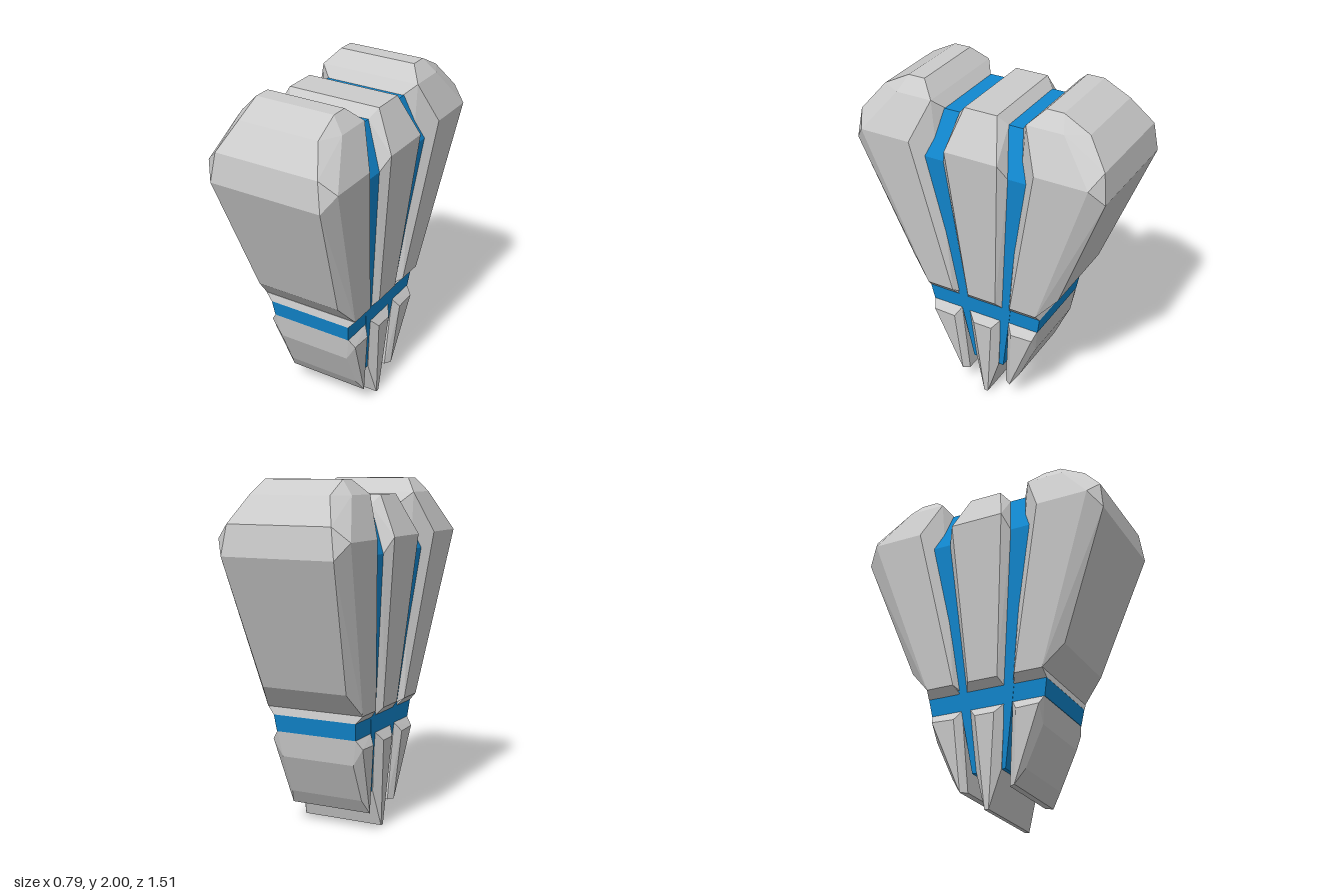
import * as THREE from 'three';
import { ConvexGeometry } from 'three/addons/geometries/ConvexGeometry.js';

const grey = new THREE.MeshStandardMaterial({ color: 0xcccccc, flatShading: true });
const blue = new THREE.MeshStandardMaterial({ color: 0x1188d0, flatShading: true });

// Faceted solid around [halfWidth, y, z] corners, mirrored left to right.
// fold also mirrors them front to back; flip builds the rear twin.
function facet(name, corners, { material = grey, fold = false, flip = false, shift = 0 } = {}) {
  const points = [];
  for (const [x, y, z] of corners) {
    for (const sx of [-1, 1]) {
      for (const sz of fold ? [-1, 1] : [flip ? -1 : 1]) {
        points.push(new THREE.Vector3(sx * x, y, sz * z + shift));
      }
    }
  }
  const mesh = new THREE.Mesh(new ConvexGeometry(points), material);
  mesh.name = name;
  return mesh;
}

export function createModel() {
  const group = new THREE.Group();
  group.name = 'segmentedWedge';
  const upperShift = -0.006;

  // Blue core filling the gaps, and the band around its waist
  group.add(facet('core', [
    [0.245, 1.86, 0.24], [0.345, 1.6, 0.315], [0.26, 0.68, 0.17], [0.22, 0.22, 0.1],
  ], { material: blue, fold: true, shift: upperShift / 2 }));
  group.add(facet('waistBand', [
    [0.26, 0.68, 0.362], [0.25, 0.58, 0.345],
  ], { material: blue, fold: true }));

  // Slim middle plates, above and below the band
  group.add(facet('upperMiddlePlate', [
    [0.28, 1.915, 0.098], [0.245, 1.86, 0.148], [0.395, 1.69, 0.16], [0.345, 1.6, 0.197],
    [0.3, 0.725, 0.09], [0.26, 0.68, 0.115],
  ], { fold: true, shift: upperShift }));
  group.add(facet('lowerMiddlePlate', [
    [0.25, 0.58, 0.105], [0.285, 0.525, 0.058], [0.225, 0.22, 0.075], [0.25, 0, 0.012],
  ], { fold: true }));

  for (const flip of [false, true]) {
    const side = flip ? 'rear' : 'front';

    // Large upper lobe
    group.add(facet(side + 'UpperLobe', [
      [0.235, 2, 0.365], [0.235, 2, 0.465],
      [0.305, 1.92, 0.285], [0.24, 1.86, 0.237], [0.24, 1.92, 0.617], [0.305, 1.92, 0.5],
      [0.31, 1.77, 0.735], [0.395, 1.69, 0.38], [0.395, 1.69, 0.685],
      [0.335, 1.6, 0.757], [0.31, 1.6, 0.27],
      [0.26, 0.86, 0.475], [0.3, 0.725, 0.355], [0.3, 0.725, 0.19], [0.26, 0.7, 0.165],
    ], { flip, shift: flip ? 0 : upperShift / 2 }));

    // Bevelled collar between the upper lobe and the band
    group.add(facet(side + 'Collar', [
      [0.3, 0.726, 0.355], [0.3, 0.726, 0.19], [0.26, 0.68, 0.363], [0.26, 0.68, 0.165],
    ], { flip }));

    // Small lower lobe
    group.add(facet(side + 'LowerLobe', [
      [0.25, 0.58, 0.342], [0.25, 0.58, 0.155],
      [0.285, 0.53, 0.325], [0.285, 0.525, 0.19],
      [0.225, 0.43, 0.322], [0.225, 0.2, 0.218],
      [0.25, 0.115, 0.162], [0.225, 0.115, 0.125],
    ], { flip }));
  }
  return group;
}
